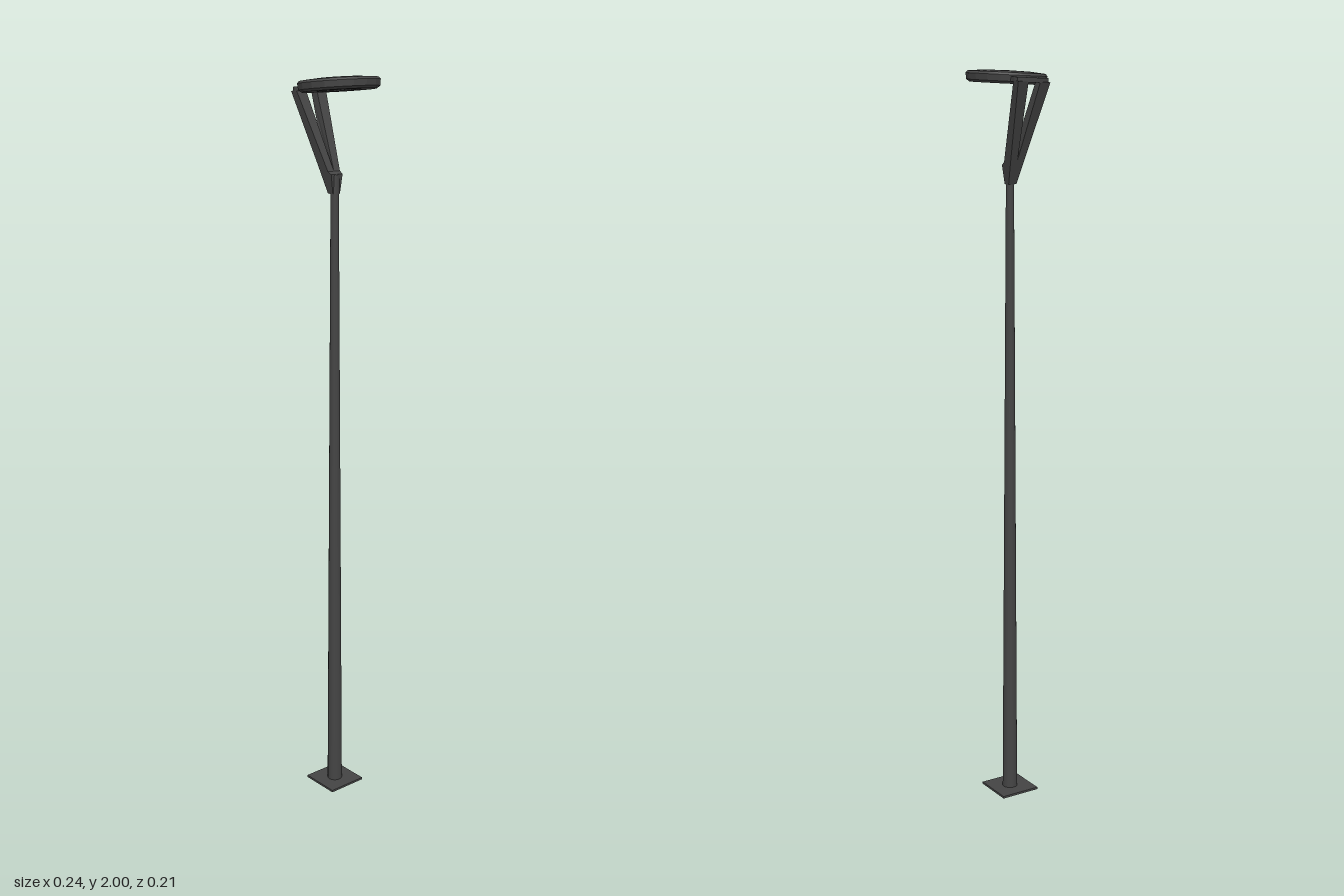
import * as THREE from 'three';
import { toCreasedNormals } from 'three/addons/utils/BufferGeometryUtils.js';

const POLE_X = -0.003;

export function createModel() {
  const model = new THREE.Group();
  const metal = new THREE.MeshStandardMaterial({ color: 0x444444 });
  const add = (parent, name, geometry, x = 0, y = 0, z = 0) => {
    const mesh = new THREE.Mesh(geometry, metal);
    mesh.name = name;
    mesh.position.set(x, y, z);
    parent.add(mesh);
    return mesh;
  };
  const polygon = (pts) => new THREE.Shape(pts.map(([x, y]) => new THREE.Vector2(x, y)));

  // Square base plate with an opening for the pole
  const h = 0.057;
  const plate = polygon([[-h, -h], [h, -h], [h, h], [-h, h]]);
  plate.holes.push(new THREE.Path().absarc(0, 0, 0.0205, 0, Math.PI * 2, true));
  const plateGeo = new THREE.ExtrudeGeometry(plate, { depth: 0.006, bevelEnabled: false, curveSegments: 8 });
  add(model, 'basePlate', plateGeo.rotateX(-Math.PI / 2), POLE_X);

  // Tapered pole and the collar on its top
  add(model, 'pole', new THREE.CylinderGeometry(0.0108, 0.021, 1.72, 16), POLE_X, 0.86);
  add(model, 'collar', new THREE.CylinderGeometry(0.0125, 0.0125, 0.05, 16), POLE_X, 1.727);

  // Two arms: a side profile whose width and spread grow with height
  const profile = polygon([
    [-0.119, 1.958], [-0.04, 1.765], [-0.0155, 1.703], [0.004, 1.703],
    [0.006, 1.753], [-0.006, 1.76], [-0.094, 1.955], [-0.1, 1.962],
  ]);
  const armGeo = new THREE.ExtrudeGeometry(profile, { depth: 1, bevelEnabled: false });
  const p = armGeo.attributes.position;
  for (let i = 0; i < p.count; i++) {
    const y = p.getY(i);
    const inner = THREE.MathUtils.mapLinear(Math.max(y, 1.765), 1.765, 1.96, 0, 0.018);
    const outer = THREE.MathUtils.mapLinear(y, 1.703, 1.96, 0.012, 0.049);
    p.setZ(i, THREE.MathUtils.lerp(inner, outer, p.getZ(i)));
  }
  armGeo.computeVertexNormals();
  for (const side of [1, -1]) {
    add(model, side > 0 ? 'frontArm' : 'backArm', armGeo).scale.z = side;
  }

  // Tilted lamp head
  const head = new THREE.Group();
  head.name = 'lampHead';
  head.position.set(0.014, 1.978, 0);
  head.rotation.z = 0.087;
  model.add(head);

  const rim = [
    [0, -0.013], [0.055, -0.013], [0.058, -0.016], [0.096, -0.016], [0.105, -0.01],
    [0.107, 0.006], [0.102, 0.012], [0.06, 0.0158], [0, 0.017],
  ].map(([r, y]) => new THREE.Vector2(r, y));
  const discGeo = new THREE.LatheGeometry(rim, 18, Math.PI / 2);
  add(head, 'lampDisc', toCreasedNormals(discGeo, 0.33));

  // Ring of small lights on the underside
  const lightGeo = new THREE.CylinderGeometry(0.005, 0.005, 0.004, 8);
  for (let i = 0; i < 14; i++) {
    const a = (i / 14) * Math.PI * 2;
    add(head, 'light', lightGeo, 0.043 * Math.cos(a), -0.0135, 0.043 * Math.sin(a));
  }

  // Curved mounting yoke with two tabs reaching into the head
  const yoke = new THREE.Shape();
  yoke.moveTo(-0.07, -0.046);
  yoke.lineTo(-0.1, -0.046);
  yoke.lineTo(-0.118, -0.05);
  yoke.lineTo(-0.128, -0.047);
  yoke.quadraticCurveTo(-0.144, 0, -0.128, 0.047);
  yoke.lineTo(-0.118, 0.05);
  yoke.lineTo(-0.1, 0.046);
  yoke.lineTo(-0.07, 0.046);
  yoke.lineTo(-0.07, 0.018);
  yoke.lineTo(-0.114, 0.018);
  yoke.quadraticCurveTo(-0.12, 0, -0.114, -0.018);
  yoke.lineTo(-0.07, -0.018);
  const yokeGeo = new THREE.ExtrudeGeometry(yoke, { depth: 0.012, bevelEnabled: false, curveSegments: 6 });
  add(head, 'mountingYoke', yokeGeo.rotateX(-Math.PI / 2), 0, -0.01);

  return model;
}
